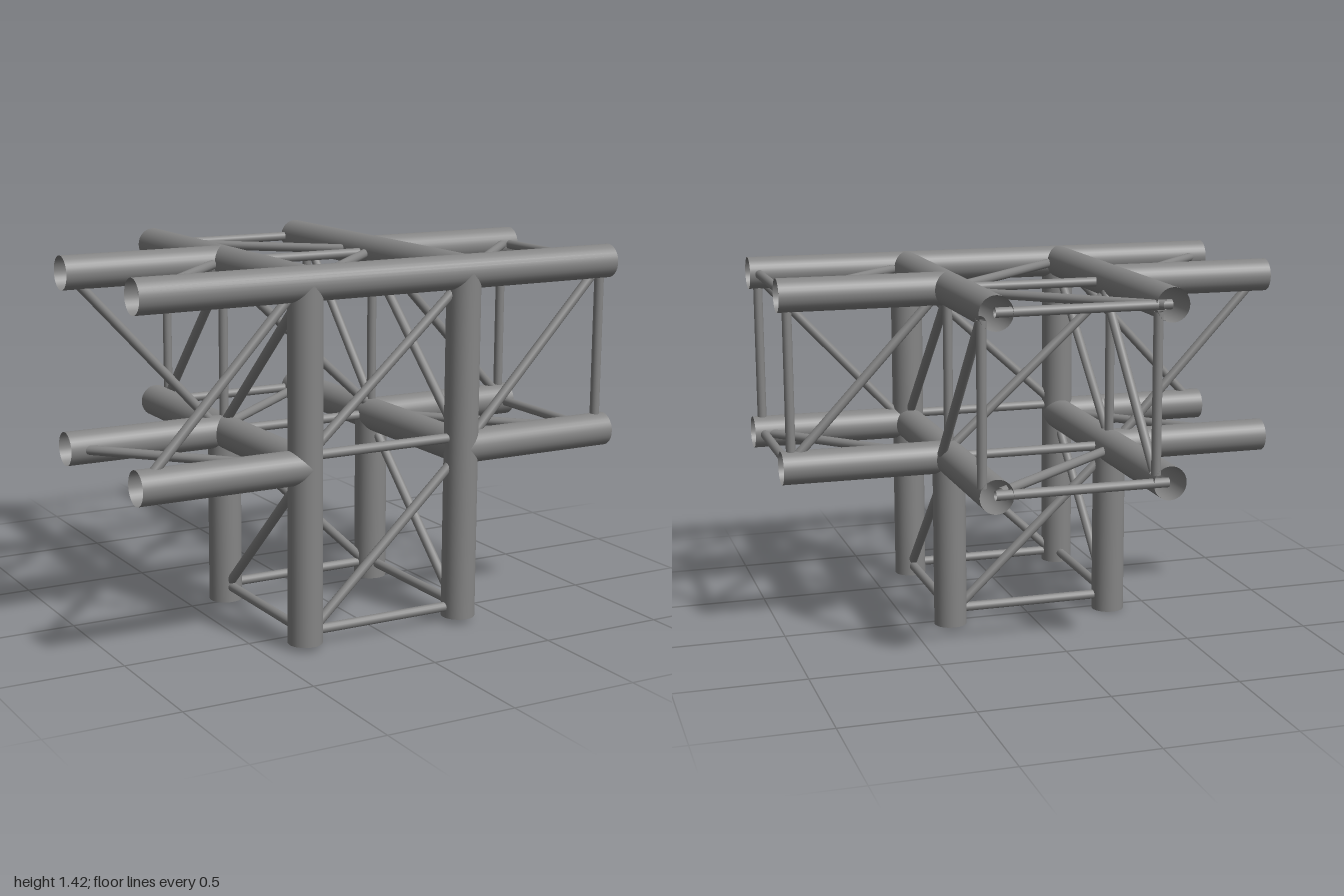
import * as THREE from 'three';

const CHORD = 0.065, STRUT = 0.0185;
const X = 0.335, ZF = 0.635, ZB = -0.035, ZE = -0.7; // node lines: sides, front, inner back, back end
const TOP = 1.355, LOW = 0.688;

// How far a chord end is pulled back to sit on the surface of a crossing chord
const saddle = (v) => Math.sqrt(Math.max(0, CHORD * CHORD - v * v));

export function createModel() {
  const model = new THREE.Group();
  const metal = new THREE.MeshStandardMaterial({ color: 0x858585, side: THREE.DoubleSide });
  const up = new THREE.Vector3(0, 1, 0);

  // Open hollow tube from a to b; cut(offset from the axis) trims the end at a
  function tube(name, a, b, radius, sides, cut) {
    const p = new THREE.Vector3(...a), q = new THREE.Vector3(...b);
    const dir = q.clone().sub(p), length = dir.length();
    dir.normalize();
    const geometry = new THREE.CylinderGeometry(radius, radius, length, sides, 1, true);
    const turn = new THREE.Quaternion().setFromUnitVectors(up, dir);
    geometry.applyQuaternion(turn);
    if (cut) {
      const pos = geometry.attributes.position, v = new THREE.Vector3();
      for (let i = 0; i < pos.count; i++) {
        v.fromBufferAttribute(pos, i);
        if (v.dot(dir) > 0) continue;
        const offset = v.clone().addScaledVector(dir, length / 2);
        v.addScaledVector(dir, cut(offset));
        pos.setXYZ(i, v.x, v.y, v.z);
      }
    }
    const mesh = new THREE.Mesh(geometry, metal);
    mesh.position.copy(p).add(q).multiplyScalar(0.5);
    mesh.name = name;
    model.add(mesh);
  }
  const chord = (name, a, b, cut) => tube(name, a, b, CHORD, 32, cut);
  const strut = (name, a, b) => tube(name, a, b, STRUT, 14);

  // Main chords: one continuous front bar, the rest saddled onto each other
  chord('frontTopChord', [-1, TOP, ZF], [1, TOP, ZF]);
  for (const s of [-1, 1]) {
    const outer = (o) => (o.x * s > 0);
    chord('frontLowerArm', [s * X, LOW, ZF], [s, LOW, ZF], (o) => saddle(o.z));
    chord('backTopArm', [s * X, TOP, ZB], [s, TOP, ZB], (o) => saddle(o.y));
    chord('backLowerArm', [s * X, LOW, ZB], [s, LOW, ZB], (o) => saddle(o.y));
    chord('rearwardTopChord', [s * X, TOP, ZF], [s * X, TOP, ZE], (o) => saddle(o.y));
    chord('rearwardLowerChord', [s * X, LOW, ZF], [s * X, LOW, ZE],
      (o) => Math.max(saddle(o.x), outer(o) ? saddle(o.y) : 0));
    chord('frontColumn', [s * X, TOP, ZF], [s * X, 0.02, ZF],
      (o) => Math.max(saddle(o.z), o.z < 0 ? saddle(o.x) : 0));
    chord('backColumn', [s * X, LOW, ZB], [s * X, 0, ZB],
      (o) => Math.max(saddle(o.x), outer(o) ? saddle(o.z) : 0));
  }

  // Square end frame of the left arm
  const xe = 0.961;
  for (const z of [ZF, ZB]) strut('sideFrameUpright', [xe, LOW - 0.018, z], [xe, TOP + 0.018, z]);
  for (const y of [TOP, LOW]) strut('sideFrameRail', [xe, y, ZF + 0.018], [xe, y, ZB - 0.018]);

  // Rear end frame (uprights set towards the left), inner uprights and column foot frame
  const ze = -0.68, foot = 0.062, shift = 0.05;
  for (const s of [-1, 1]) {
    strut('rearFrameUpright', [s * X + shift, 0.72, ze], [s * X + shift, 1.33, ze]);
    strut('innerUpright', [s * X, LOW, ZB], [s * X, TOP, ZB]);
    strut('footSideRail', [s * X, foot, ZF], [s * X, foot, ZB]);
  }
  const crossRails = [
    ['rearFrameRail', TOP, ze], ['rearFrameRail', LOW, ze],
    ['innerCrossRail', TOP, ZB], ['innerCrossRail', LOW, ZB],
    ['frontCrossRail', 0.727, ZF], ['footRail', foot, ZF], ['footRail', foot, ZB],
  ];
  for (const [name, y, z] of crossRails) strut(name, [-X, y, z], [X, y, z]);

  // Diagonals of the side arms: opposite faces slope opposite ways
  const xi = 0.385, xo = 0.945, lo = 0.725, hi = 1.325, zf = 0.6, zb = 0;
  for (const s of [-1, 1]) {
    const [l, r] = s > 0 ? [xi, xo] : [-xo, -xi];
    strut('armFrontDiagonal', [l, lo, ZF], [r, hi, ZF]);
    strut('armBackDiagonal', [l, hi, ZB], [r, lo, ZB]);
    strut('armTopDiagonal', [l, TOP, zf], [r, TOP, zb]);
    strut('armLowerDiagonal', [l, LOW, zb], [r, LOW, zf]);
  }

  // Diagonals of the rear arm
  const d = 0.305;
  strut('rearTopDiagonal', [d, TOP, -0.148], [-d, TOP, -0.697]);
  strut('rearLowerDiagonal', [d, LOW, -0.64], [-d, LOW, -0.112]);
  strut('rearSideDiagonal', [X + shift, 0.72, -0.12], [X + shift, 1.33, -0.672]);
  strut('rearSideDiagonal', [-X + shift, 1.325, -0.115], [-X + shift, 0.725, -0.662]);

  // Diagonals of the central cube
  strut('centreTopDiagonal', [-d, TOP, zf], [d, TOP, -0.025]);
  strut('centreFrontDiagonal', [-d, 0.745, ZF], [d, 1.3, ZF]);
  strut('centreBackDiagonal', [-d, 1.3, ZB], [d, 0.745, ZB]);
  strut('centreSideDiagonal', [X, 0.74, zf], [X, 1.3, -0.01]);
  strut('centreSideDiagonal', [-X, 1.3, zf], [-X, 0.74, -0.01]);

  // Diagonals of the lower column bay
  strut('columnFrontDiagonal', [-d, 0.065, ZF], [d, 0.64, ZF]);
  strut('columnBackDiagonal', [-d, 0.64, ZB], [d, 0.065, ZB]);
  strut('columnSideDiagonal', [X, 0.07, zf], [X, 0.63, zb]);
  strut('columnSideDiagonal', [-X, 0.63, zf], [-X, 0.07, zb]);

  return model;
}
